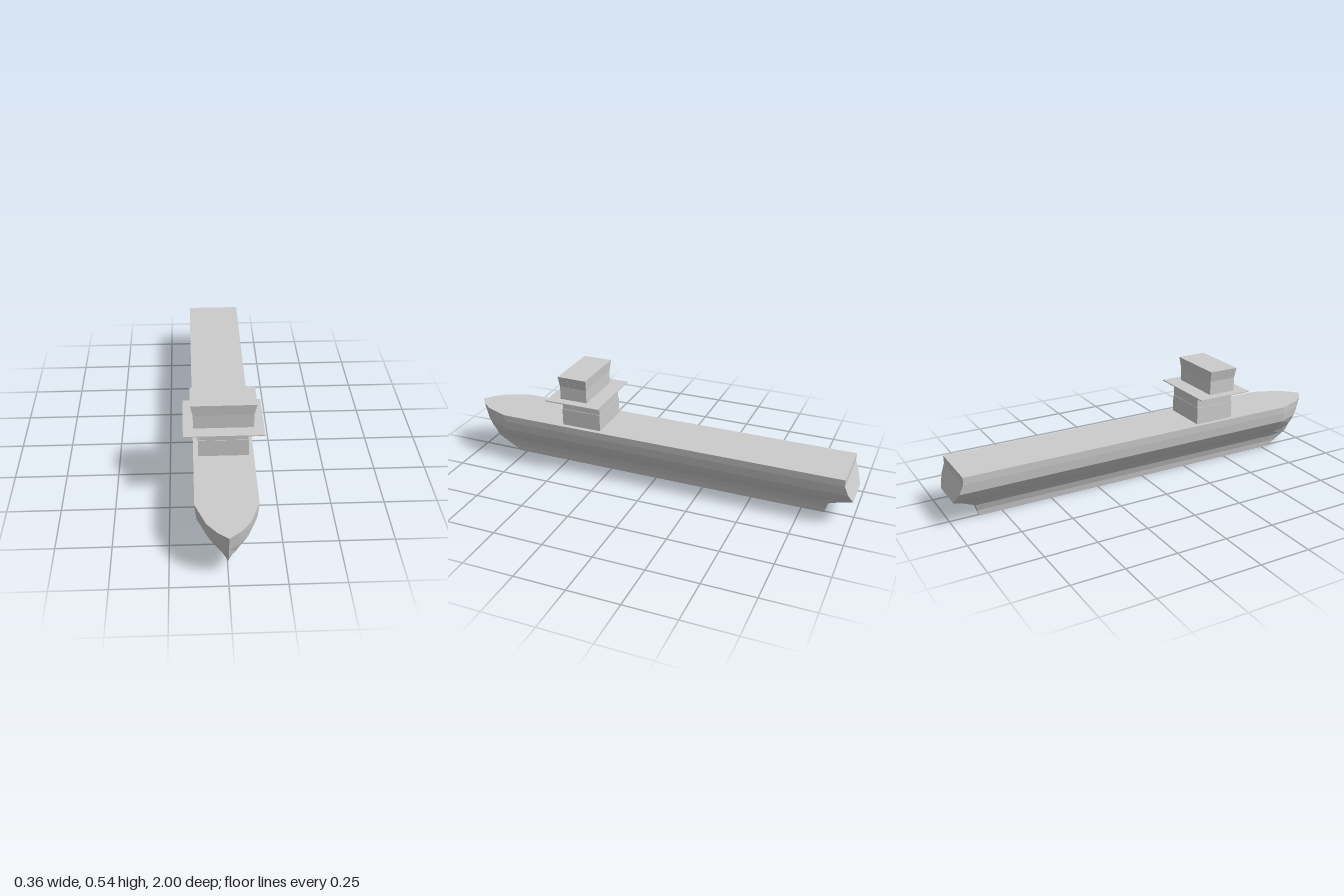
import * as THREE from 'three';

const grey = new THREE.MeshStandardMaterial({ color: 0xcccccc, flatShading: true, side: THREE.DoubleSide });

// hull levels from keel to deck: [y, half width, stern z, bow z]
const LEVELS = [
  [0, 0.009, -0.86, 0.8],
  [0.03, 0.014, -0.87, 0.855],
  [0.065, 0.028, -0.88, 0.92],
  [0.1, 0.055, -0.94, 0.94],
  [0.132, 0.088, -1, 0.962],
  [0.183, 0.128, -0.98, 0.977],
  [0.23, 0.135, -0.962, 0.99],
  [0.266, 0.137, -0.962, 1],
];
const SHOULDER = 0.79; // where the bow starts to taper
const BOW = [[0, 1], [0.57, 0.66], [0.82, 0.35]]; // [way to the stem, share of half width]

function hullGeometry() {
  const pos = [], index = [];
  const n = 2 * (BOW.length + 1) + 1;
  for (const [y, w, stern, bow] of LEVELS) {
    const side = [[w, stern], ...BOW.map(([t, f]) => [w * f, SHOULDER + t * (bow - SHOULDER)])];
    const ring = [...side, [0, bow], ...side.map(([x, z]) => [-x, z]).reverse()];
    for (const [x, z] of ring) pos.push(x, y, z);
  }
  const top = (LEVELS.length - 1) * n;
  for (let r = 0; r < top; r += n) {
    for (let j = 0; j < n; j++) {
      const k = (j + 1) % n;
      index.push(r + j, r + n + j, r + n + k, r + j, r + n + k, r + k);
    }
  }
  // keel and deck caps
  for (let j = 1; j < n - 1; j++) {
    index.push(0, j, j + 1, top, top + j + 1, top + j);
  }
  const g = new THREE.BufferGeometry();
  g.setAttribute('position', new THREE.Float32BufferAttribute(pos, 3));
  g.setIndex(index);
  const flat = g.toNonIndexed();
  flat.computeVertexNormals();
  return flat;
}

export function createModel() {
  const model = new THREE.Group();
  const add = (name, geometry, parent = model) => {
    const mesh = new THREE.Mesh(geometry, grey);
    mesh.name = name;
    parent.add(mesh);
    return mesh;
  };
  // box given by half width and its y and z ranges; the top may flare outwards
  const block = (name, hw, y0, y1, z0, z1, topHw = hw, flareZ = 0) => {
    const g = new THREE.BoxGeometry(2 * hw, y1 - y0, z1 - z0);
    const p = g.attributes.position;
    for (let i = 0; i < p.count; i++) {
      if (p.getY(i) < 0) continue;
      p.setX(i, Math.sign(p.getX(i)) * topHw);
      p.setZ(i, p.getZ(i) + Math.sign(p.getZ(i)) * flareZ);
    }
    g.translate(0, (y0 + y1) / 2, (z0 + z1) / 2);
    g.computeVertexNormals();
    return add(name, g);
  };

  add('hull', hullGeometry());

  // deckhouse
  block('deckhouseBase', 0.114, 0.264, 0.352, 0.257, 0.461);
  block('deckhouseUpper', 0.111, 0.352, 0.409, 0.259, 0.459);
  block('deckhouseRim', 0.119, 0.408, 0.412, 0.254, 0.464);

  // bridge with outward leaning windows
  block('bridgeDeck', 0.18, 0.412, 0.417, 0.235, 0.517);
  block('bridgeBase', 0.135, 0.417, 0.485, 0.315, 0.456);
  block('bridgeTop', 0.135, 0.485, 0.538, 0.315, 0.456, 0.147, 0.004);

  // thin window bars
  const bars = new THREE.Group();
  bars.name = 'windowBars';
  model.add(bars);
  const bar = (x, y, z, h, lean = 0, pitch = 0) => {
    const m = add('windowBar', new THREE.BoxGeometry(0.002, h, 0.002), bars);
    m.position.set(x, y, z);
    m.rotation.set(pitch, 0, lean);
  };
  for (let i = -3; i <= 3; i++) {
    bar(i * 0.038, 0.511, 0.458, 0.046, 0, 0.075);
    bar(i * 0.032, 0.38, 0.459, 0.045);
  }
  for (const s of [-1, 1]) {
    for (let i = 0; i < 3; i++) {
      bar(s * 0.141, 0.511, 0.44 - i * 0.032, 0.046, -s * 0.223);
      bar(s * 0.111, 0.38, 0.44 - i * 0.035, 0.045);
    }
  }
  return model;
}
